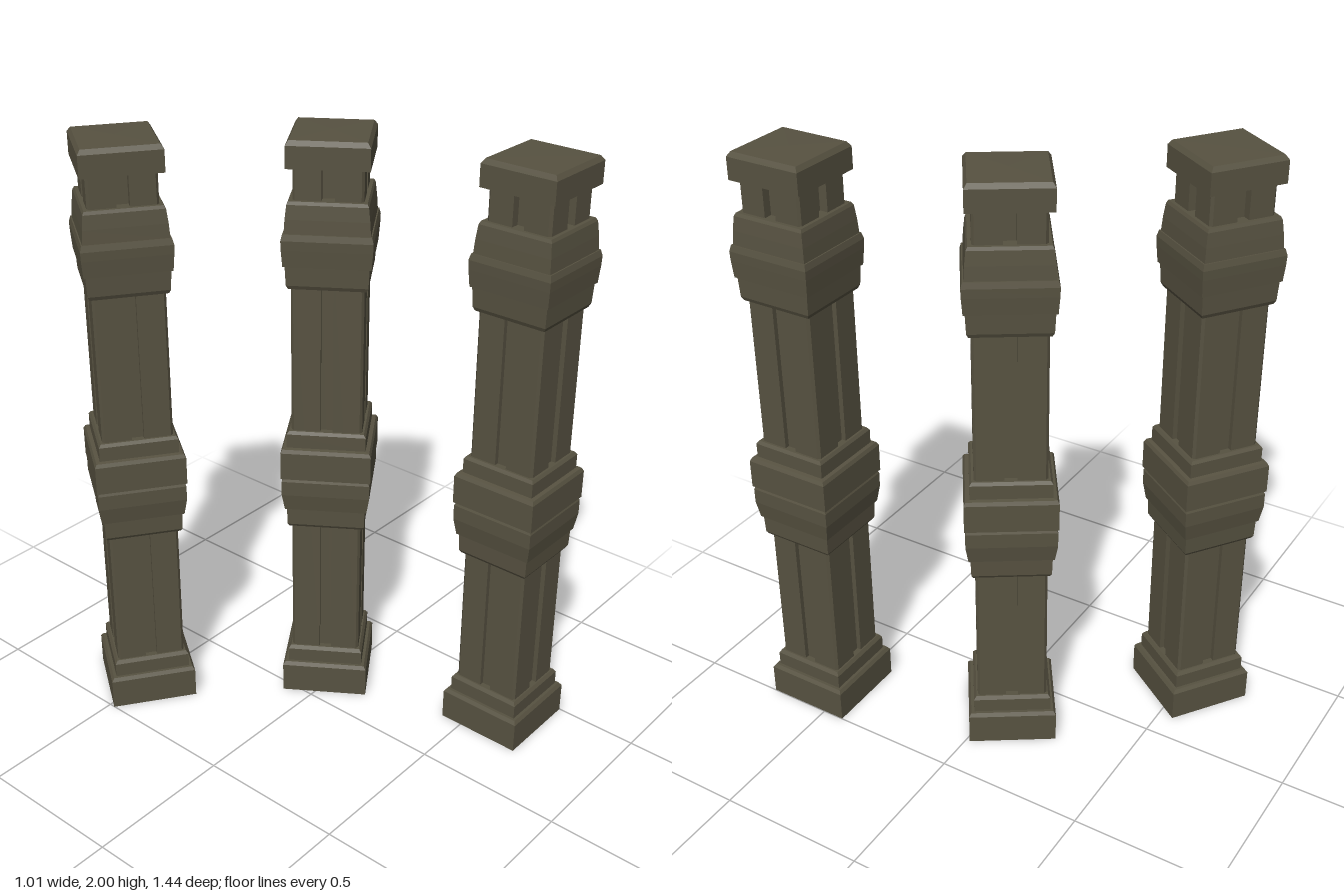
import * as THREE from 'three';

const stone = new THREE.MeshStandardMaterial({ color: 0x575241, side: THREE.DoubleSide });
stone.name = 'dark stone';

// Square moulding: [half width, height] pairs swept round four sides
function moulding(name, profile) {
  const points = profile.map(([half, y]) => new THREE.Vector2(half * Math.SQRT2, y));
  const geometry = new THREE.LatheGeometry(points, 4).rotateY(Math.PI / 4).toNonIndexed();
  geometry.computeVertexNormals();
  const mesh = new THREE.Mesh(geometry, stone);
  mesh.name = name;
  return mesh;
}

// Square post with chamfered corners and a groove down the middle of each side
function groovedPost(name, half, depth, y0, y1) {
  const c = 0.008, g = 0.02;
  const side = [[half, -half + c], [half, -g], [half - depth, -g],
    [half - depth, g], [half, g], [half, half - c]];
  const outline = [];
  for (let i = 0; i < 4; i++) {
    for (const [x, y] of side) {
      outline.push(new THREE.Vector2(x, y).rotateAround(new THREE.Vector2(), i * Math.PI / 2));
    }
  }
  const geometry = new THREE.ExtrudeGeometry(new THREE.Shape(outline), { depth: y1 - y0, bevelEnabled: false });
  geometry.rotateX(-Math.PI / 2).translate(0, y0, 0);
  const mesh = new THREE.Mesh(geometry, stone);
  mesh.name = name;
  return mesh;
}

function pillar(name, x, z, turn) {
  const group = new THREE.Group();
  group.name = name;
  group.position.set(x, 0, z);
  group.rotation.y = turn;
  group.add(
    // Plinth is open underneath
    moulding('plinth', [[0.146, 0], [0.146, 0.105], [0.138, 0.117], [0.128, 0.117],
      [0.128, 0.165], [0.12, 0.177], [0.1, 0.177]]),
    groovedPost('shaft', 0.115, 0.016, 0.14, 1.6),
    moulding('middleCollar', [[0.1, 0.67], [0.122, 0.67], [0.128, 0.68], [0.13, 0.742], [0.136, 0.742],
      [0.145, 0.8], [0.145, 0.85], [0.14, 0.862], [0.148, 0.862], [0.148, 0.958],
      [0.142, 0.97], [0.129, 0.972], [0.129, 1.02], [0.122, 1.03], [0.1, 1.03]]),
    moulding('upperCollar', [[0.1, 1.527], [0.122, 1.527], [0.128, 1.54], [0.131, 1.605], [0.137, 1.605],
      [0.141, 1.66], [0.142, 1.69], [0.137, 1.71], [0.133, 1.71], [0.13, 1.755],
      [0.125, 1.8], [0.12, 1.81], [0.07, 1.81]]),
    groovedPost('neck', 0.109, 0.028, 1.78, 1.93),
    moulding('cap', [[0, 1.912], [0.128, 1.912], [0.128, 1.983], [0.118, 1.998], [0, 2]]),
  );
  return group;
}

export function createModel() {
  const model = new THREE.Group();
  model.name = 'stonePillars';
  model.add(
    pillar('frontPillar', 0.353, 0.57, 0),
    pillar('middlePillar', 0.163, -0.055, 0.588),
    pillar('backPillar', -0.298, -0.515, -0.611),
  );
  return model;
}
